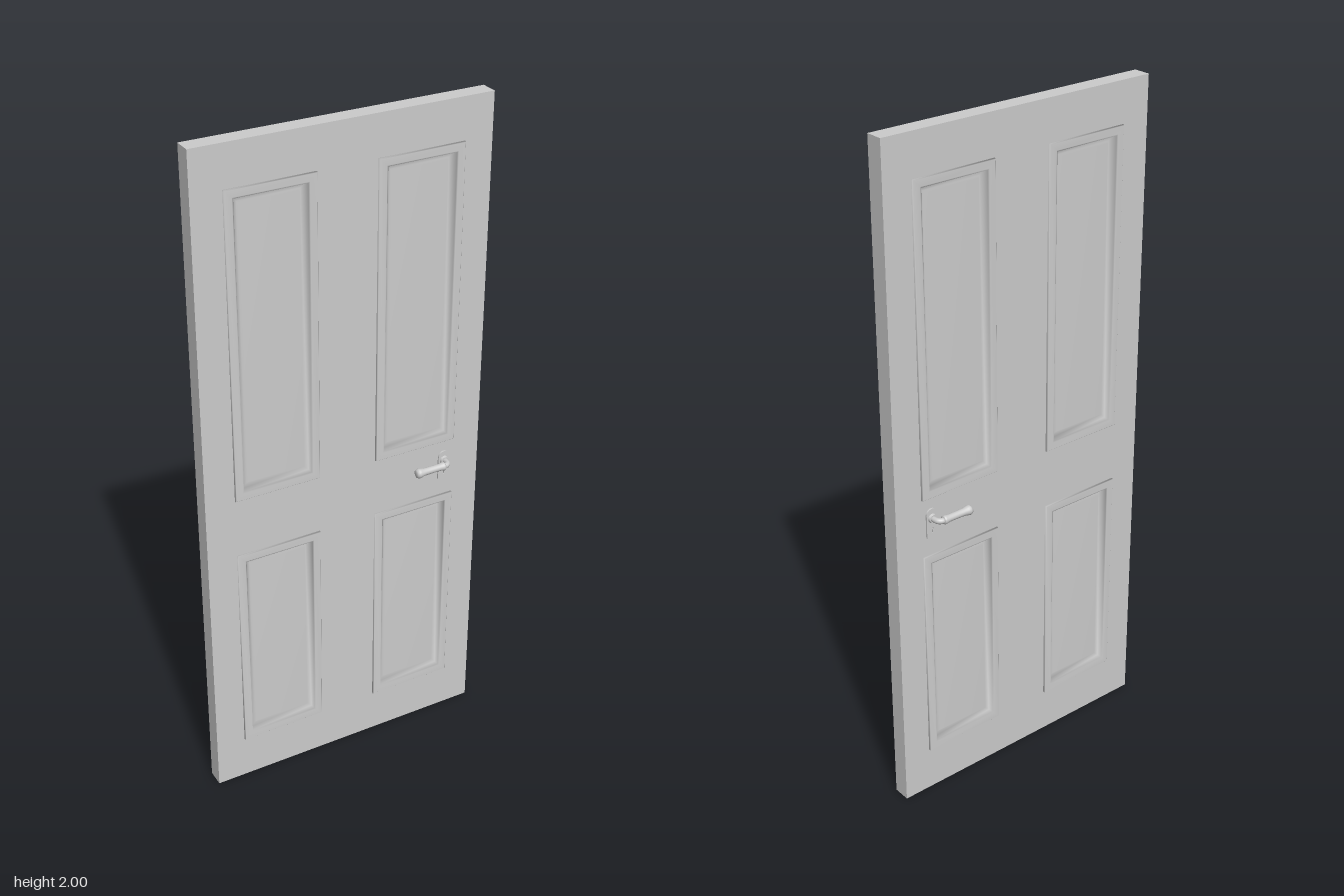
import * as THREE from 'three';

const material = new THREE.MeshStandardMaterial({ color: 0xcccccc });
const FACE = 0.026; // half the slab thickness

function mesh(name, geometry) {
  const m = new THREE.Mesh(geometry, material);
  m.name = name;
  return m;
}

// Rectangle outline, usable as a shape or a hole
function rect(path, x0, x1, y0, y1) {
  path.moveTo(x0, y0);
  path.lineTo(x1, y0);
  path.lineTo(x1, y1);
  path.lineTo(x0, y1);
  path.closePath();
  return path;
}

// Moulded panel: rectangular rings [inset, z] stepping inwards, closed by a flat field
const PANEL_PROFILE = [
  [0, 0.02], [0, 0.031], [0.002, 0.033], [0.022, 0.033], [0.026, 0.031],
  [0.029, 0.018], [0.041, 0.015], [0.045, 0.019],
];
function panelGeometry(w, h) {
  const pos = [], index = [];
  for (const [inset, z] of PANEL_PROFILE) {
    const x = w / 2 - inset, y = h / 2 - inset;
    pos.push(-x, -y, z, x, -y, z, x, y, z, -x, y, z);
  }
  const last = (PANEL_PROFILE.length - 1) * 4;
  for (let r = 0; r < last; r += 4) {
    for (let i = 0; i < 4; i++) {
      const a = r + i, b = r + (i + 1) % 4;
      index.push(a, b, b + 4, a, b + 4, a + 4);
    }
  }
  index.push(last, last + 1, last + 2, last, last + 2, last + 3);
  const g = new THREE.BufferGeometry();
  g.setAttribute('position', new THREE.Float32BufferAttribute(pos, 3));
  g.setIndex(index);
  g.computeVertexNormals();
  return g;
}

// Back plate with rounded ends and a keyhole
function plateGeometry() {
  const r = 0.018, low = 0.875, high = 0.928;
  const s = new THREE.Shape();
  s.absarc(0, high, r, 0, Math.PI, false);
  s.lineTo(-r, low - r);
  s.lineTo(r, low - r);
  s.closePath();
  const hole = new THREE.Path();
  hole.absarc(0, 0.883, 0.004, -Math.PI / 3, Math.PI * 4 / 3, false);
  hole.lineTo(-0.002, 0.87);
  hole.lineTo(0.002, 0.87);
  hole.closePath();
  s.holes.push(hole);
  return new THREE.ExtrudeGeometry(s, { depth: 0.006, bevelEnabled: false, curveSegments: 16 });
}

// Lever handle facing +z; side = -1 gives the lever for the back
function handle(side) {
  const g = new THREE.Group();
  g.name = side > 0 ? 'frontHandle' : 'backHandle';
  const plate = mesh('backPlate', plateGeometry());
  plate.position.z = FACE - 0.001;
  g.add(plate);

  // Neck leaves the plate and bends into the grip
  const y = 0.917, z = 0.06;
  const neck = new THREE.CatmullRomCurve3([
    [0, 0.025], [0, 0.044], [-0.003, 0.054], [-0.011, z], [-0.022, z],
  ].map(([px, pz]) => new THREE.Vector3(px * side, y, pz)));
  g.add(mesh('neck', new THREE.TubeGeometry(neck, 24, 0.0085, 14)));

  const collar = mesh('collar', new THREE.CylinderGeometry(0.012, 0.014, 0.008, 20));
  collar.rotation.x = Math.PI / 2;
  collar.position.set(0, y, 0.034);
  g.add(collar);

  // Turned grip with swollen ends
  const profile = [
    [0, 0], [0.009, 0], [0.0125, 0.003], [0.0125, 0.008], [0.0105, 0.018],
    [0.0105, 0.05], [0.011, 0.07], [0.0135, 0.082], [0.0145, 0.089], [0.012, 0.095], [0.006, 0.097], [0, 0.097],
  ].map(([r, h]) => new THREE.Vector2(r, h));
  const grip = mesh('grip', new THREE.LatheGeometry(profile, 20));
  grip.rotation.z = side * Math.PI / 2;
  grip.position.set(-0.015 * side, y, z);
  g.add(grip);

  g.position.x = 0.32;
  if (side < 0) g.rotation.y = Math.PI;
  return g;
}

export function createModel() {
  const door = new THREE.Group();
  door.name = 'door';

  // Slab with an opening behind each panel
  const slab = rect(new THREE.Shape(), -0.437, 0.437, 0, 2);
  const w = 0.26;
  for (const cx of [-0.218, 0.221]) {
    for (const [y0, y1, level] of [[0.138, 0.8, 'lower'], [0.98, 1.88, 'upper']]) {
      slab.holes.push(rect(new THREE.Path(), cx - w / 2 + 0.01, cx + w / 2 - 0.01, y0 + 0.01, y1 - 0.01));
      for (const face of ['Front', 'Back']) {
        const panel = mesh(level + face + 'Panel', panelGeometry(w, y1 - y0));
        panel.position.set(cx, (y0 + y1) / 2, 0);
        if (face === 'Back') panel.rotation.y = Math.PI;
        door.add(panel);
      }
    }
  }
  const slabGeometry = new THREE.ExtrudeGeometry(slab, { depth: FACE * 2, bevelEnabled: false });
  slabGeometry.translate(0, 0, -FACE);
  door.add(mesh('slab', slabGeometry));

  door.add(handle(1), handle(-1));
  door.position.z = -0.001;

  const model = new THREE.Group();
  model.name = 'panelDoor';
  model.add(door);
  return model;
}
